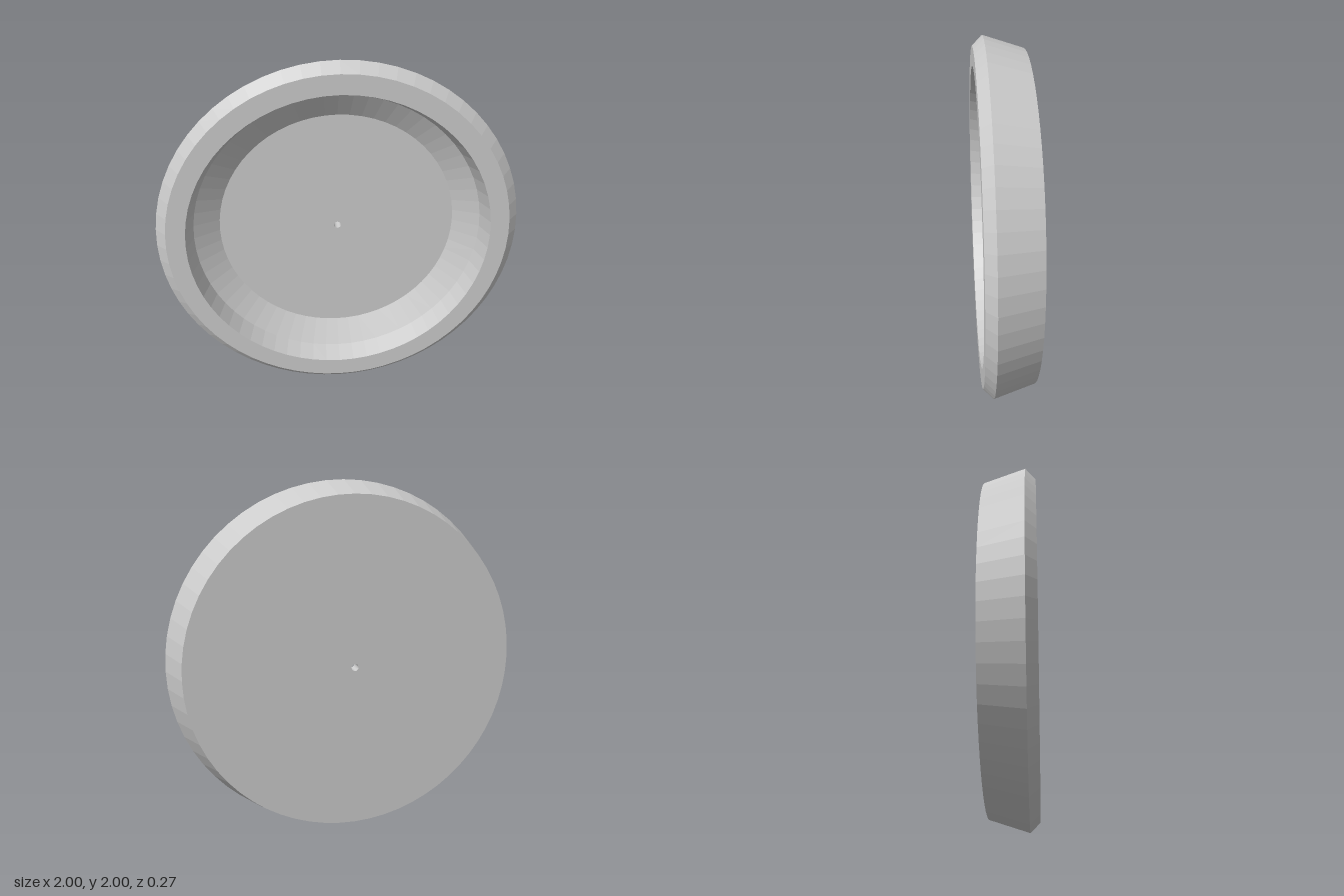
import * as THREE from 'three';

export function createModel() {
  const group = new THREE.Group();
  const material = new THREE.MeshStandardMaterial({ color: 0xcccccc, flatShading: true });

  // Closed cross-section as [radius, depth], running round the solid from the back of the pin hole
  const section = [
    [0.02, -0.137], [0.93, -0.137],   // flat back
    [1, 0.083], [0.945, 0.137],       // flared side and front chamfer
    [0.84, 0.137], [0.805, 0.028],    // flat rim and steep inner wall
    [0.667, -0.055], [0.02, -0.055],  // sloped inner wall and recessed floor
    [0.02, -0.137],                   // wall of the centre hole
  ].map(([r, z]) => new THREE.Vector2(r, z));

  // Turned dish, with its axis laid along z
  const geometry = new THREE.LatheGeometry(section, 64);
  geometry.rotateX(Math.PI / 2);
  const dish = new THREE.Mesh(geometry, material);
  dish.name = 'dish';
  dish.position.y = 1;
  group.add(dish);

  return group;
}
